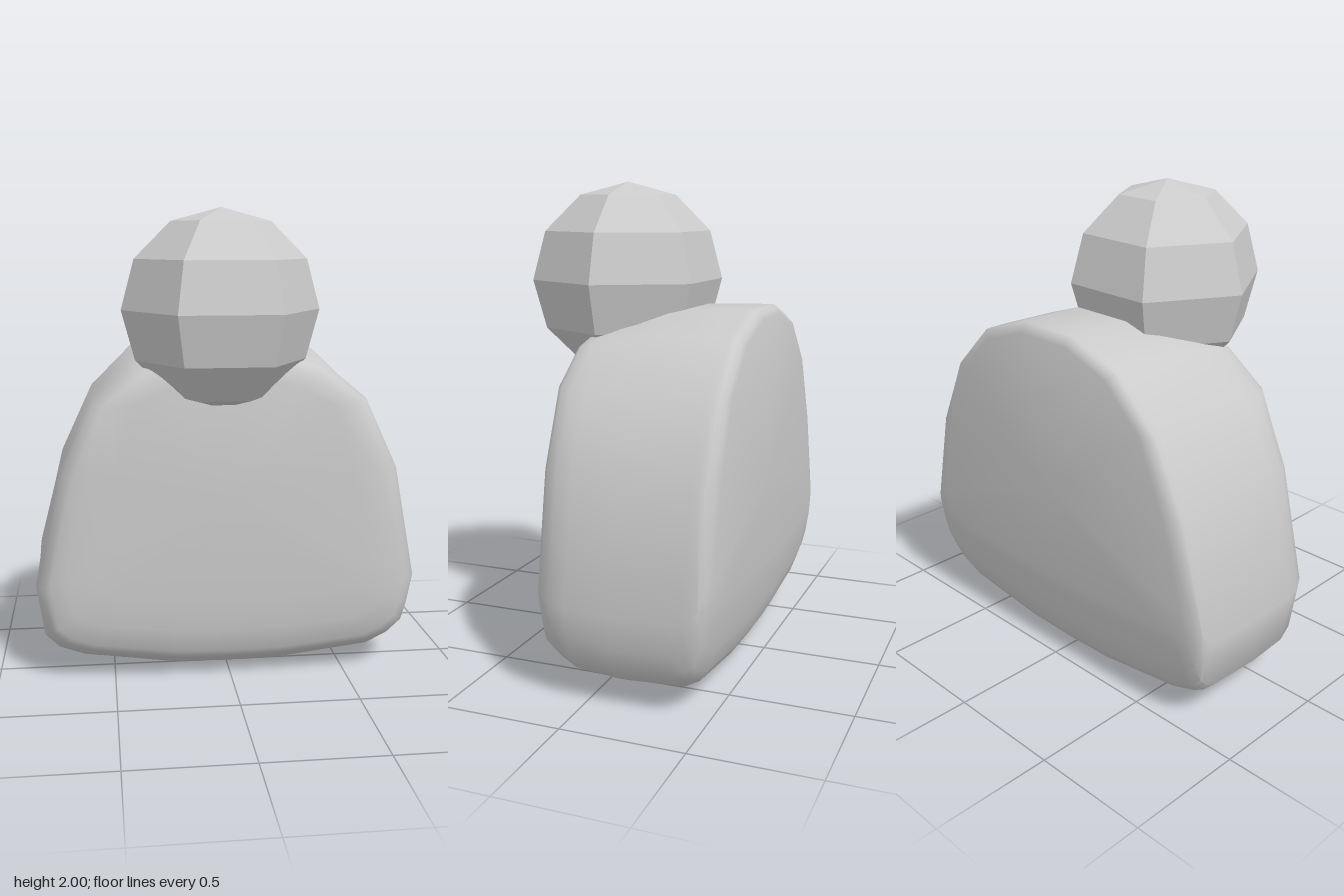
import * as THREE from 'three';
import { toCreasedNormals } from 'three/addons/utils/BufferGeometryUtils.js';

// Body outline, counter-clockwise seen from the front
const outline = [
  [0, 0], [0.23, 0.005], [0.63, 0.055], [0.72, 0.1], [0.78, 0.16], [0.805, 0.25], [0.83, 0.39],
  [0.74, 0.9], [0.6, 1.2], [0.4, 1.4], [0.15, 1.49], [-0.13, 1.49], [-0.38, 1.4],
  [-0.58, 1.2], [-0.72, 0.9], [-0.835, 0.39], [-0.8, 0.16], [-0.74, 0.1], [-0.63, 0.06], [-0.24, 0.005],
];

// Slices from back to front: z, width factor, bottom height, top height
const slices = [
  [-0.51, 0.89, 0.4, 1.45], [-0.5, 0.96, 0.33, 1.475], [-0.48, 0.995, 0.2, 1.49], [-0.45, 1, 0.1, 1.49],
  [-0.42, 1, 0.05, 1.49], [-0.36, 1, 0.015, 1.49], [-0.12, 1, 0, 1.48], [0.06, 1, 0.02, 1.44],
  [0.13, 0.985, 0.06, 1.42], [0.18, 0.95, 0.09, 1.41], [0.2, 0.92, 0.12, 1.395],
  [0.22, 0.84, 0.22, 1.36], [0.232, 0.7, 0.36, 1.3],
];

function bodyGeometry() {
  const n = outline.length, positions = [], index = [];
  for (const [z, width, bottom, top] of slices) {
    for (const [x, y] of outline) {
      let h = y;
      if (y < 0.6) h = bottom + y * (0.6 - bottom) / 0.6;
      if (y > 1.2) h = 1.2 + (y - 1.2) * (top - 1.2) / 0.29;
      positions.push(x * width, h, z);
    }
  }
  // Skin between the slices
  for (let i = 0; i < slices.length - 1; i++) {
    for (let j = 0; j < n; j++) {
      const k = (j + 1) % n, a = i * n + j, b = i * n + k;
      index.push(a, b, b + n, a, b + n, a + n);
    }
  }
  // Back and front caps
  const back = slices.length * n, front = back + 1, last = back - n;
  positions.push(0, 0.8, -0.512, 0, 0.8, 0.236);
  for (let j = 0; j < n; j++) {
    const k = (j + 1) % n;
    index.push(k, j, back, last + j, last + k, front);
  }
  const geometry = new THREE.BufferGeometry();
  geometry.setAttribute('position', new THREE.Float32BufferAttribute(positions, 3));
  geometry.setIndex(index);
  return toCreasedNormals(geometry, 0.8);
}

export function createModel() {
  const model = new THREE.Group();
  model.name = 'seatedFigure';

  // Rounded slab body
  const body = new THREE.Mesh(bodyGeometry(), new THREE.MeshStandardMaterial({ color: 0xcccccc }));
  body.name = 'body';
  model.add(body);

  // Six-sided faceted head, overlapping the front of the body
  const head = new THREE.Mesh(
    new THREE.SphereGeometry(0.413, 6, 6),
    new THREE.MeshStandardMaterial({ color: 0xcccccc, flatShading: true }),
  );
  head.name = 'head';
  head.position.set(-0.038, 1.587, 0.15);
  model.add(head);

  return model;
}
